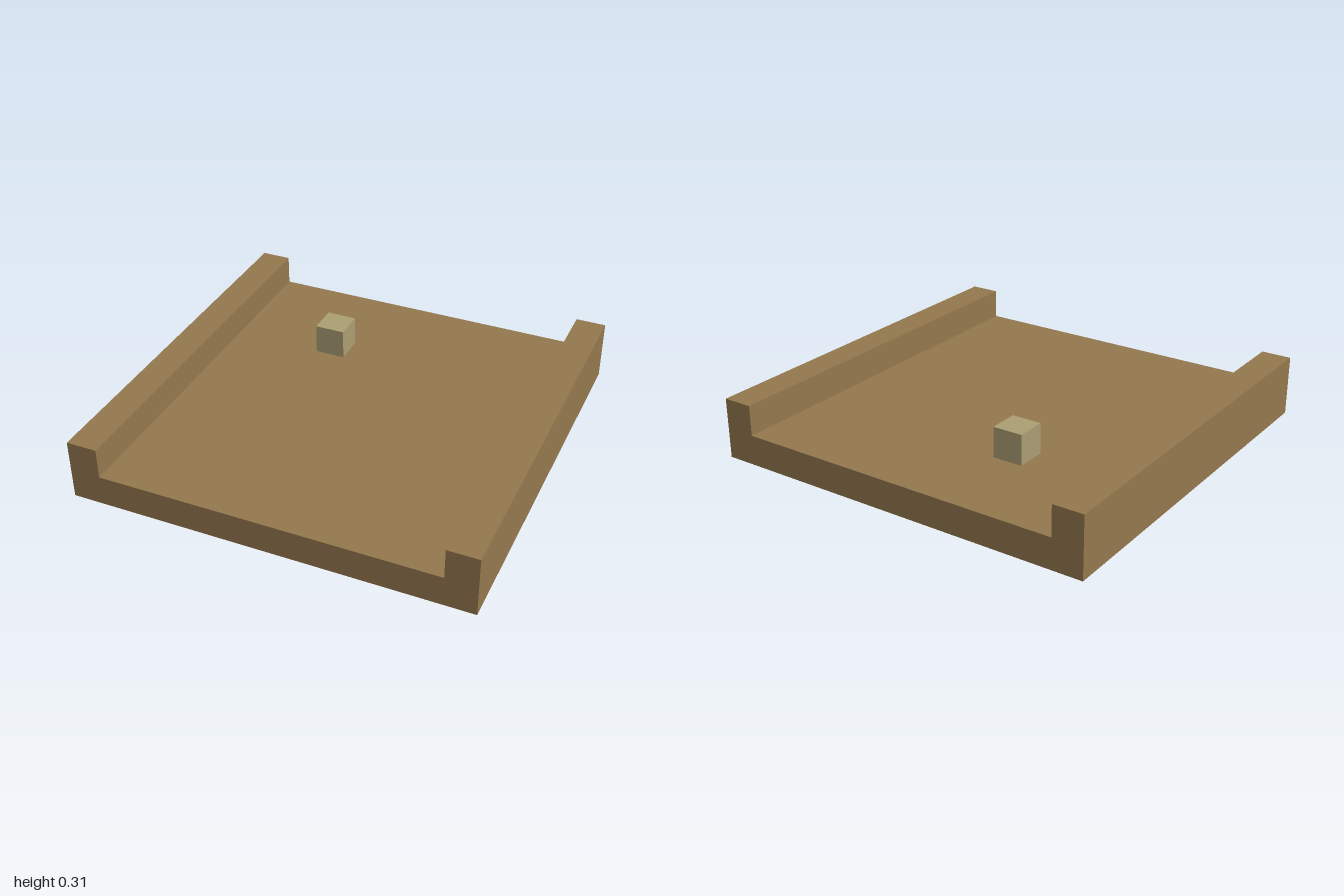
import * as THREE from 'three';

export function createModel() {
  const model = new THREE.Group();
  const U = 2 / 13; // the model is laid out on a 13-unit grid

  const wood = new THREE.MeshStandardMaterial({ color: 0x94784e });
  wood.name = 'brown wood';
  const pale = new THREE.MeshStandardMaterial({ color: 0xab9e72 });
  pale.name = 'pale khaki';

  // Channel: floor slab with a raised rail along each side
  const inner = 1 - U;
  const profile = new THREE.Shape([
    [-1, 0], [1, 0], [1, 2 * U], [inner, 2 * U],
    [inner, U], [-inner, U], [-inner, 2 * U], [-1, 2 * U],
  ].map(([x, y]) => new THREE.Vector2(x, y)));
  const channelGeometry = new THREE.ExtrudeGeometry(profile, { depth: 2, bevelEnabled: false });
  channelGeometry.translate(0, 0, -1);
  const channel = new THREE.Mesh(channelGeometry, wood);
  channel.name = 'channelBase';
  model.add(channel);

  // Small cube resting on the floor
  const cube = new THREE.Mesh(new THREE.BoxGeometry(U, U, U), pale);
  cube.name = 'smallCube';
  cube.position.set(-2 * U, 1.5 * U, -3 * U);
  model.add(cube);

  return model;
}
